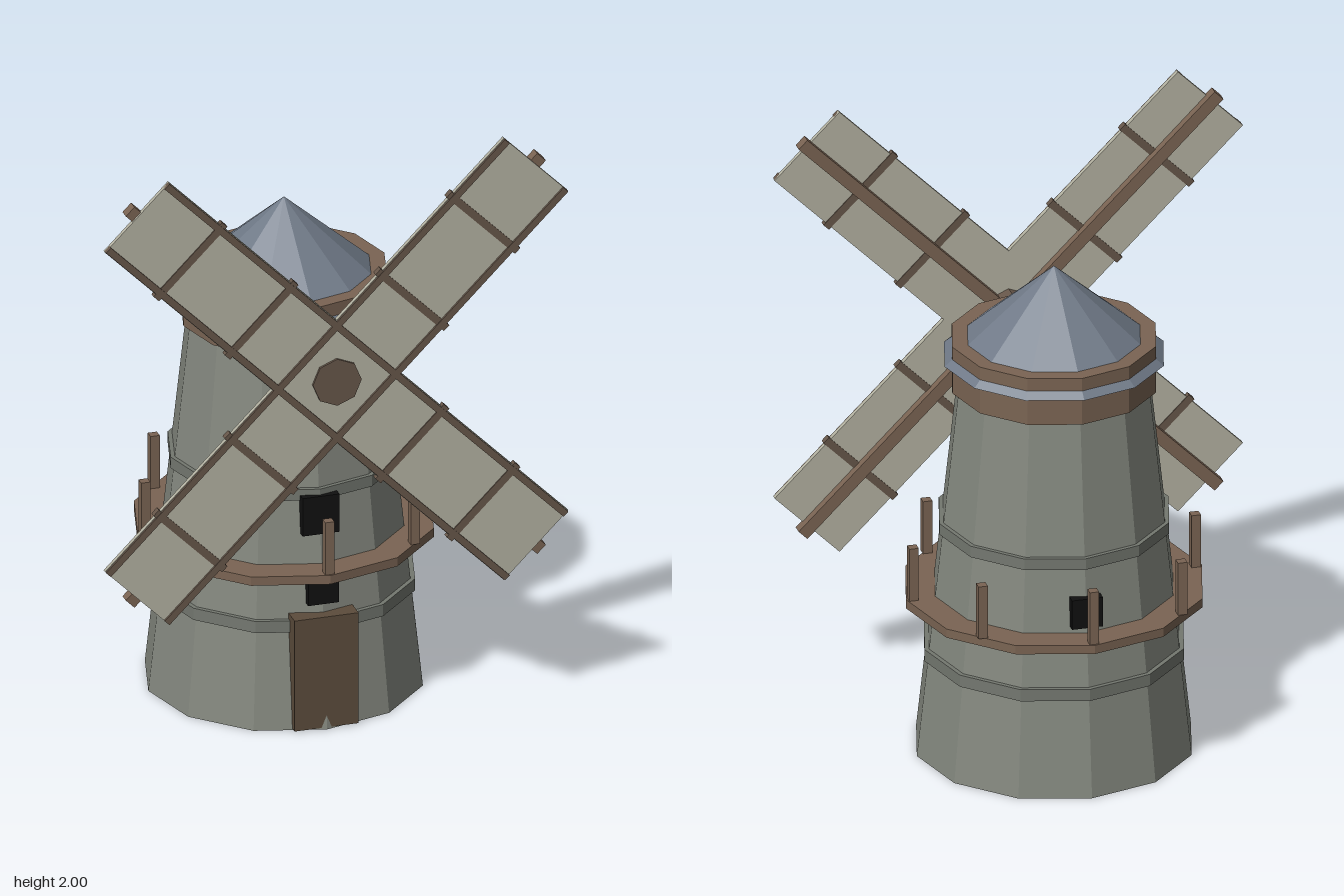
import * as THREE from 'three';

const mat = (color) => new THREE.MeshStandardMaterial({ color, flatShading: true });
const AXIS_Z = -0.035; // tower axis
const HUB_Y = 1.24;

export function createModel() {
  const stone = mat(0x84887f), band = mat(0x747870), wood = mat(0x7a6453);
  const darkWood = mat(0x67574a), doorWood = mat(0x5c4c3c), slate = mat(0x707a88);
  const cloth = mat(0xb4b2a2), black = mat(0x101010);

  const model = new THREE.Group();
  model.name = 'windmill';

  const add = (parent, name, geometry, material, x = 0, y = 0, z = 0) => {
    const mesh = new THREE.Mesh(geometry, material);
    mesh.name = name;
    mesh.position.set(x, y, z);
    parent.add(mesh);
    return mesh;
  };
  const box = (parent, name, size, material, x, y, z) =>
    add(parent, name, new THREE.BoxGeometry(...size), material, x, y, z);
  // Twelve-sided drum on the tower axis, from y0 to y1
  const drum = (name, rBottom, rTop, y0, y1, material) =>
    add(model, name, new THREE.CylinderGeometry(rTop, rBottom, y1 - y0, 12), material, 0, (y0 + y1) / 2, AXIS_Z);

  // Tower, bands and cap
  drum('tower', 0.445, 0.303, 0, 1.3, stone);
  drum('lowerBand', 0.42, 0.42, 0.325, 0.365, band);
  drum('upperBand', 0.372, 0.372, 0.757, 0.795, band);
  drum('capRing', 0.33, 0.33, 1.24, 1.4, wood);
  add(model, 'roof', new THREE.ConeGeometry(0.355, 0.305, 12), slate, 0, 1.4875, AXIS_Z);

  // Gallery with eight posts
  drum('galleryDeck', 0.48, 0.48, 0.515, 0.545, wood);
  for (let i = 0; i < 8; i++) {
    const a = (i * Math.PI) / 4;
    box(model, 'galleryPost', [0.03, 0.18, 0.03], wood,
      0.458 * Math.sin(a), 0.635, AXIS_Z + 0.458 * Math.cos(a));
  }

  // Door and windows
  box(model, 'door', [0.21, 0.38, 0.08], doorWood, 0, 0.195, 0.365);
  box(model, 'lowerWindow', [0.1, 0.11, 0.06], black, 0, 0.47, 0.343);
  box(model, 'upperWindow', [0.12, 0.13, 0.06], black, 0, 0.71, 0.318);
  box(model, 'backWindow', [0.1, 0.1, 0.06], black, 0, 0.615, -0.398);

  // Octagonal shaft carrying the sails
  const shaft = add(model, 'shaft', new THREE.CylinderGeometry(0.08, 0.08, 0.315, 8), darkWood, 0, HUB_Y, 0.3575);
  shaft.rotation.x = Math.PI / 2;

  // Two crossed pairs of sails
  const sails = new THREE.Group();
  sails.name = 'sails';
  sails.position.set(0, HUB_Y, 0);
  model.add(sails);
  for (const side of [1, -1]) {
    const pair = new THREE.Group();
    pair.name = 'sailPair';
    pair.rotation.z = (side * Math.PI) / 4;
    sails.add(pair);
    box(pair, 'spar', [1.91, 0.04, 0.035], wood, 0, 0, 0.482);
    box(pair, 'sailCloth', [1.852, 0.298, 0.015], cloth, 0, 0, 0.4995);
    for (const edge of [1, -1]) {
      box(pair, 'sailRail', [1.852, 0.022, 0.016], darkWood, 0, edge * 0.136, 0.506);
      for (const d of [0.35, 0.68]) {
        box(pair, 'sailBar', [0.025, 0.318, 0.022], darkWood, edge * d, 0, 0.5);
      }
    }
  }
  return model;
}
